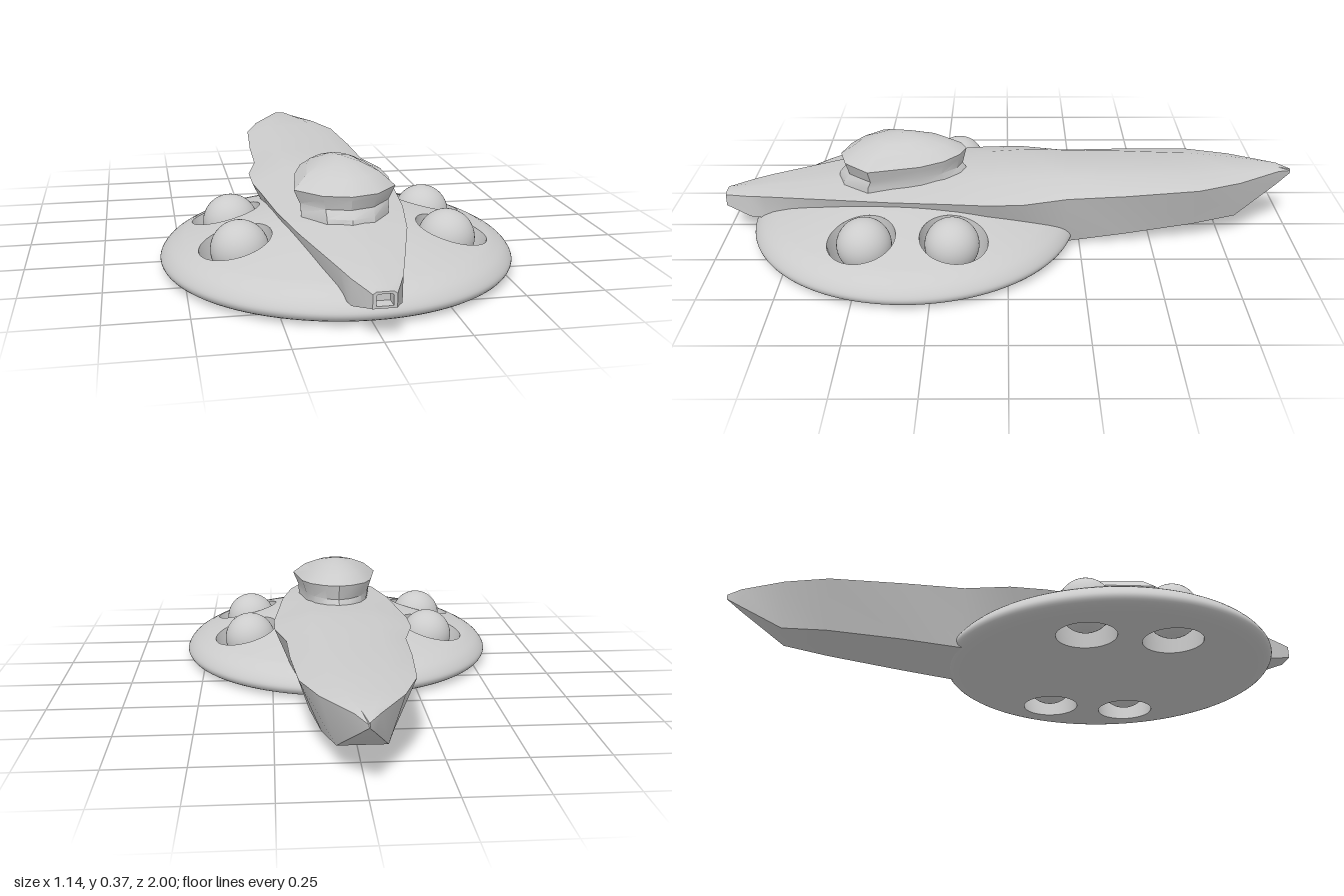
import * as THREE from 'three';
import { toCreasedNormals } from 'three/addons/utils/BufferGeometryUtils.js';

const grey = new THREE.MeshStandardMaterial({ color: 0xcccccc });
const greyDouble = new THREE.MeshStandardMaterial({ color: 0xcccccc, side: THREE.DoubleSide });

function addMesh(group, name, geometry, material = grey) {
  const mesh = new THREE.Mesh(geometry, material);
  mesh.name = name;
  group.add(mesh);
  return mesh;
}

// Skin a list of rings (counter-clockwise about the travel direction), with fan caps
function loft(rings, crease) {
  const pos = [];
  const tri = (a, b, c) => pos.push(...a, ...b, ...c);
  const n = rings[0].length;
  for (let i = 0; i < rings.length - 1; i++) {
    for (let j = 0; j < n; j++) {
      const k = (j + 1) % n, a = rings[i], b = rings[i + 1];
      tri(a[j], a[k], b[k]);
      tri(a[j], b[k], b[j]);
    }
  }
  const centre = (r) => [0, 1, 2].map((c) => r.reduce((s, p) => s + p[c], 0) / n);
  const first = rings[0], last = rings[rings.length - 1];
  for (let j = 0; j < n; j++) {
    const k = (j + 1) % n;
    tri(centre(first), first[k], first[j]);
    tri(centre(last), last[j], last[k]);
  }
  const g = new THREE.BufferGeometry();
  g.setAttribute('position', new THREE.Float32BufferAttribute(pos, 3));
  return toCreasedNormals(g, crease);
}

// Saucer frame: its own centre, moved to SAUCER_Z at the end
const SAUCER_Z = 0.33;
const topHeight = (r) => 0.205 - 0.1 * r - 0.22 * r * r;
const wells = [];
for (const sx of [-1, 1]) for (const sz of [-1, 1]) {
  wells.push({
    ball: [0.33 * sx, 0.145 * sz],
    top: [0.344 * sx, 0.152 * sz, 0.113],
    bottom: [0.328 * sx, 0.144 * sz, 0.1],
  });
}

// Lathed disc whose cells inside the wells are dropped and rim vertices snapped to circles
function saucerGeometry() {
  const pts = [];
  for (let i = 0; i <= 48; i++) pts.push(new THREE.Vector2(i * 0.01, 0));
  const rim = new THREE.CatmullRomCurve3([
    [0.48, 0], [0.53, 0.006], [0.56, 0.019], [0.569, 0.036], [0.562, 0.054], [0.54, 0.077], [0.5, topHeight(0.5)],
  ].map(([x, y]) => new THREE.Vector3(x, y, 0)));
  rim.getPoints(18).slice(1, -1).forEach((p) => pts.push(new THREE.Vector2(p.x, p.y)));
  for (let i = 50; i >= 0; i--) pts.push(new THREE.Vector2(i * 0.01, topHeight(i * 0.01)));

  const g = new THREE.LatheGeometry(pts, 192);
  const p = g.attributes.position;
  const inside = new Array(p.count).fill(false);
  const snapped = [];
  for (let i = 0; i < p.count; i++) {
    const x = p.getX(i), y = p.getY(i), z = p.getZ(i);
    const isTop = y > 0.06;
    for (const w of wells) {
      const [cx, cz, R] = isTop ? w.top : w.bottom;
      const d = Math.hypot(x - cx, z - cz);
      if (d >= R || d === 0) continue;
      inside[i] = true;
      const nx = cx + (x - cx) * R / d, nz = cz + (z - cz) * R / d;
      snapped.push([i, nx, isTop ? topHeight(Math.hypot(nx, nz)) : 0, nz]);
    }
  }
  const idx = g.index.array, kept = [];
  for (let i = 0; i < idx.length; i += 3) {
    const t = [idx[i], idx[i + 1], idx[i + 2]];
    if (!t.every((v) => inside[v])) kept.push(...t);
  }
  snapped.forEach(([i, x, y, z]) => p.setXYZ(i, x, y, z));
  g.setIndex(kept);
  return g;
}

// Slanted wall joining the top and bottom openings of a well
function wellGeometry(w) {
  const g = new THREE.CylinderGeometry(1, 1, 1, 64, 1, true);
  const p = g.attributes.position;
  for (let i = 0; i < p.count; i++) {
    const isTop = p.getY(i) > 0;
    const [cx, cz, R] = isTop ? w.top : w.bottom;
    const x = cx + p.getX(i) * R, z = cz + p.getZ(i) * R;
    p.setXYZ(i, x, isTop ? topHeight(Math.hypot(x, z)) : 0, z);
  }
  g.computeVertexNormals();
  return g;
}

// Hull sections: z, deck y, deck half width, chine y, chine half width, bottom y, bottom half width
function hullGeometry() {
  const sections = [
    [-1, 0.222, 0.001, 0.216, 0.002, 0.206, 0.001],
    [-0.95, 0.238, 0.018, 0.229, 0.036, 0.172, 0.022],
    [-0.8, 0.242, 0.06, 0.226, 0.122, 0.076, 0.075],
    [-0.65, 0.243, 0.09, 0.222, 0.175, 0.062, 0.11],
    [-0.4, 0.245, 0.105, 0.212, 0.195, 0.035, 0.135],
    [-0.2, 0.246, 0.11, 0.205, 0.202, 0.012, 0.145],
    [-0.05, 0.246, 0.115, 0.203, 0.24, 0.01, 0.15],
    [0.07, 0.24, 0.11, 0.201, 0.241, 0.01, 0.15],
    [0.2, 0.226, 0.1, 0.199, 0.226, 0.02, 0.15],
    [0.4, 0.214, 0.08, 0.195, 0.205, 0.03, 0.14],
    [0.6, 0.2, 0.035, 0.186, 0.167, 0.05, 0.12],
    [0.85, 0.168, 0.015, 0.16, 0.092, 0.07, 0.08],
    [0.91, 0.16, 0.015, 0.152, 0.073, 0.073, 0.072],
    [0.98, 0.148, 0.02, 0.142, 0.043, 0.092, 0.042],
    [1, 0.145, 0.024, 0.138, 0.034, 0.097, 0.034],
    // recessed nose port
    [1, 0.138, 0.02, 0.134, 0.024, 0.104, 0.024],
    [0.96, 0.138, 0.02, 0.134, 0.024, 0.104, 0.024],
  ];
  return loft(sections.map(([z, dy, dw, cy, cw, by, bw]) => [
    [bw, by, z], [cw, cy, z], [dw, dy, z], [-dw, dy, z], [-cw, cy, z], [-bw, by, z],
  ]), 0.5);
}

// Faceted turret: one outline, scaled up through the neck, brow and dome
function turretGeometry() {
  const half = [[0, 0.215], [0.085, 0.19], [0.16, 0.105], [0.13, -0.07], [0.1, -0.15], [0.05, -0.205], [0, -0.225]];
  const outline = [...half, ...half.slice(1, -1).reverse().map(([x, z]) => [-x, z])];
  const levels = [ // y, x scale, z scale, rearward lift
    [0.185, 0.86, 1.06, 0], [0.215, 0.87, 1.04, 0], [0.24, 0.88, 0.94, 0.01], [0.272, 0.97, 0.98, 0.015],
    [0.285, 1, 1, 0.02], [0.325, 0.72, 0.72, 0.008], [0.348, 0.42, 0.42, 0.002], [0.365, 0.01, 0.01, 0],
  ];
  return loft(levels.map(([y, kx, kz, lift]) => outline.map(([x, z]) =>
    [x * kx, y + (z < 0 ? lift * -z / 0.225 : 0), 0.37 + z * kz])), 0.55);
}

export function createModel() {
  const model = new THREE.Group();
  model.name = 'saucerShip';

  const saucer = new THREE.Group();
  saucer.name = 'saucer';
  saucer.position.z = SAUCER_Z;
  model.add(saucer);
  addMesh(saucer, 'saucerDisc', saucerGeometry());
  for (const w of wells) {
    addMesh(saucer, 'wellWall', wellGeometry(w), greyDouble);
    const ball = addMesh(saucer, 'engineSphere', new THREE.SphereGeometry(0.091, 40, 28));
    ball.position.set(w.ball[0], 0.106, w.ball[1]);
  }

  addMesh(model, 'hull', hullGeometry());
  addMesh(model, 'turret', turretGeometry());
  return model;
}
